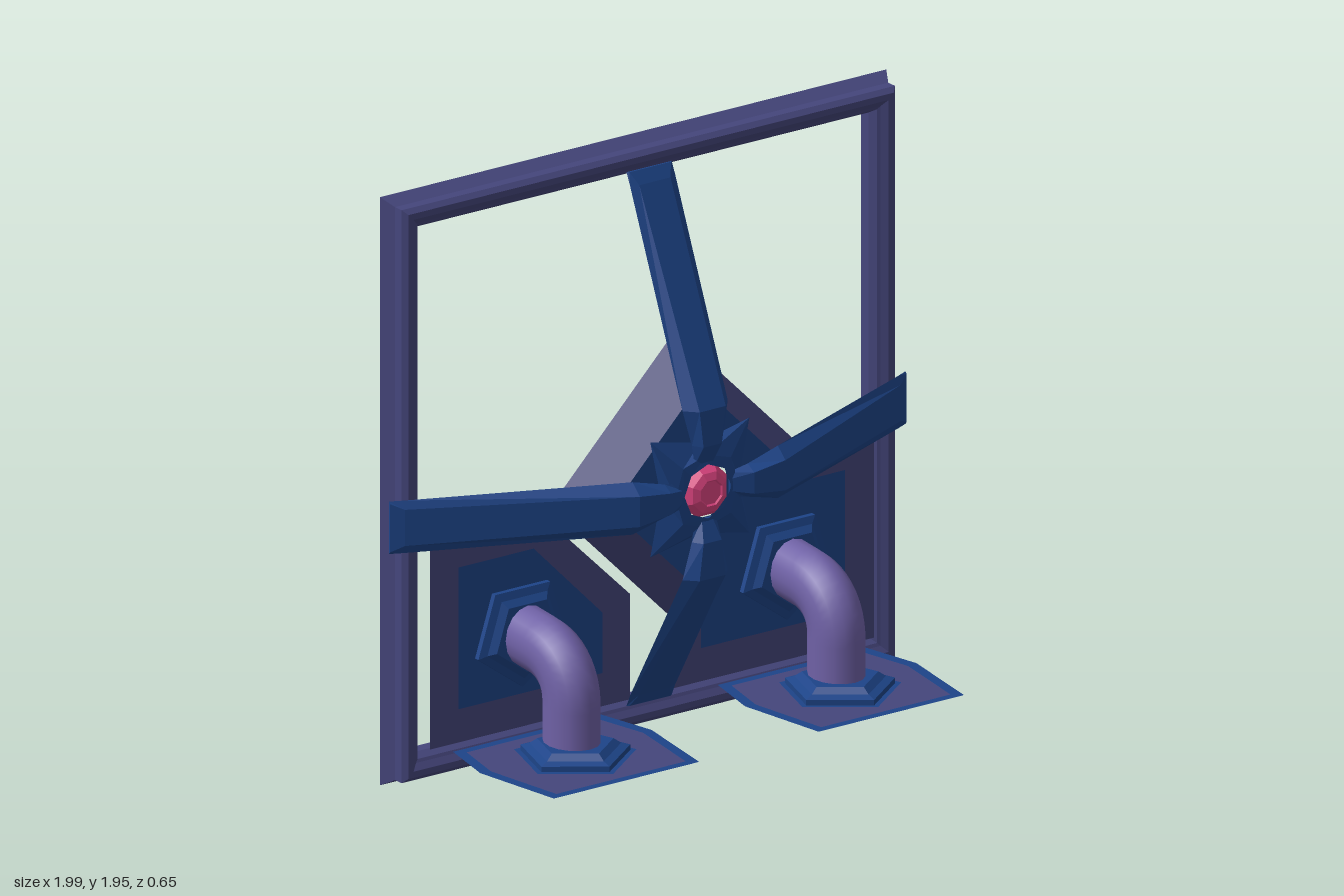
import * as THREE from 'three';

const mat = (color, flatShading = true) =>
  new THREE.MeshStandardMaterial({ color, flatShading, side: THREE.DoubleSide });
const BLUE = mat(0x1d4488), PURPLE = mat(0x45467c), PINK = mat(0xdc4480), PIPE = mat(0x6f61a6, false);

function add(parent, name, geo, material, x = 0, y = 0, z = 0) {
  const m = new THREE.Mesh(geo, material);
  m.name = name;
  m.position.set(x, y, z);
  parent.add(m);
  return m;
}

// Skin a list of equal-length rings of [x, y, z] points, optionally capped
function loft(rings, capped) {
  const n = rings[0].length, idx = [];
  for (let i = 0; i < rings.length - 1; i++)
    for (let j = 0; j < n; j++) {
      const a = i * n + j, b = i * n + (j + 1) % n;
      idx.push(a, b, b + n, a, b + n, a + n);
    }
  if (capped) {
    const e = (rings.length - 1) * n;
    for (let j = 1; j < n - 1; j++) idx.push(0, j + 1, j, e, e + j, e + j + 1);
  }
  const g = new THREE.BufferGeometry();
  g.setAttribute('position', new THREE.Float32BufferAttribute(rings.flat(2), 3));
  g.setIndex(idx);
  const flat = g.toNonIndexed();
  flat.computeVertexNormals();
  return flat;
}

// Lathe whose axis points to +z; profile is [radius, z]
function latheZ(profile, sides, phase) {
  const g = new THREE.LatheGeometry(profile.map(p => new THREE.Vector2(...p)), sides, phase);
  g.rotateX(Math.PI / 2);
  const flat = g.toNonIndexed();
  flat.computeVertexNormals();
  return flat;
}

const vec = pts => pts.map(p => new THREE.Vector2(...p));
function plate(pts, hole) {
  const s = new THREE.Shape(vec(pts));
  if (hole) s.holes.push(new THREE.Path(vec(hole)));
  return new THREE.ShapeGeometry(s);
}
const polygon = (n, r, start) => Array.from({ length: n }, (_, i) => {
  const a = start + i * 2 * Math.PI / n;
  return [r * Math.cos(a), r * Math.sin(a)];
});

// Curved spoke along +x, bending back to its tip
function spoke(len, tipZ) {
  const stations = [ // x, front z, thickness, back half width, front half width
    [0.09, 0.06, 0.01, 0.04, 0.02],
    [0.16, 0.09, 0.035, 0.055, 0.035],
    [0.28, 0.09, 0.04, 0.087, 0.05],
    [len - 0.04, tipZ + 0.025, 0.012, 0.087, 0.06],
    [len, tipZ, 0.006, 0.087, 0.08],
  ];
  return loft(stations.map(([x, z, t, b, f]) =>
    [[x, -b, z - t], [x, b, z - t], [x, f, z], [x, -f, z]]), true);
}

// Pentagonal stepped flange, axis +z, one corner towards -y
function flange(h) {
  return latheZ([[0, 0], [0.18, 0], [0.18, h * 0.4], [0.15, h * 0.6], [0.125, h], [0, h]], 5, 0);
}

// Wall panel, floor plate, elbow pipe and flanges for the model's left side
function pipeUnit() {
  const g = new THREE.Group();
  const X = 0.51;
  const inset = [[0.745, 0.23], [0.745, 0.7], [0.455, 0.7], [0.19, 0.43], [0.19, 0.23]];
  const outer = [[0.855, 0.12], [0.855, 0.8], [0.42, 0.8], [0.085, 0.47], [0.085, 0.12]];
  add(g, 'wallPanelBorder', plate(outer, inset), PURPLE, 0, 0, -0.245);
  add(g, 'wallPanelInset', plate(inset), BLUE, 0, 0, -0.245);
  add(g, 'wallFlange', flange(0.045), BLUE, X, 0.44, -0.245);

  // Floor plate: outline in x and z, laid flat
  const edge = [[-0.285, -0.205], [0.285, -0.205], [0.33, 0], [0.28, 0.32], [-0.28, 0.32], [-0.33, 0]];
  const inner = edge.map(([x, z]) => [x * 0.89, (z - 0.06) * 0.89 + 0.06]);
  const core = polygon(5, 0.2, Math.PI / 2).map(([x, z]) => [x, z + 0.05]);
  [['floorPlateRim', edge, inner, BLUE], ['floorPlate', inner, core, PURPLE], ['floorPlateCore', core, null, BLUE]]
    .forEach(([name, pts, hole, m]) =>
      add(g, name, plate(pts, hole).rotateX(Math.PI / 2), m, X, 0.112, 0));
  add(g, 'floorFlange', flange(0.045).rotateX(-Math.PI / 2), BLUE, X, 0.112, 0.05);

  // Elbow pipe
  const path = new THREE.CurvePath();
  const v = (y, z) => new THREE.Vector3(0, y, z);
  path.add(new THREE.LineCurve3(v(0.12, 0.03), v(0.28, 0.03)));
  path.add(new THREE.CubicBezierCurve3(v(0.28, 0.03), v(0.37, 0.03), v(0.425, -0.03), v(0.43, -0.12)));
  path.add(new THREE.LineCurve3(v(0.43, -0.12), v(0.44, -0.25)));
  const pipe = add(g, 'elbowPipe', new THREE.TubeGeometry(path, 24, 0.1, 16), PIPE, X);
  pipe.scale.x = 0.86;
  return g;
}

export function createModel() {
  const model = new THREE.Group();
  model.name = 'windowWithPipes';

  // Square moulded frame
  const moulding = [[0.975, -0.33], [0.95, -0.285], [0.95, -0.25], [0.935, -0.235], [0.915, -0.235],
    [0.895, -0.25], [0.885, -0.255], [0.87, -0.28], [0.87, -0.32], [0.89, -0.33], [0.975, -0.33]];
  add(model, 'frame', latheZ(moulding.map(([d, z]) => [d * Math.SQRT2, z]), 4, Math.PI / 4),
    PURPLE, -0.005, 0.98);

  const hub = new THREE.Group();
  hub.name = 'hub';
  hub.position.set(-0.005, 0.885, 0);
  model.add(hub);

  // Diamond skirt, open at the back, with a pierced front plate
  add(hub, 'diamondSkirt', latheZ([[0.48, -0.11], [0.34, 0.02]], 4, 0), PURPLE);
  add(hub, 'diamondPlate', plate(polygon(4, 0.34, 0), polygon(8, 0.11, Math.PI / 8)), BLUE, 0, 0, 0.02);

  // Star-shaped collar around the knob
  const ring = (radius, z) => Array.from({ length: 8 }, (_, i) => {
    const a = i * Math.PI / 4, r = radius(i % 2);
    return [r * Math.cos(a), r * Math.sin(a), z];
  });
  add(hub, 'starCollar', loft([ring(odd => (odd ? 0.27 : 0.15), 0.022),
    ring(odd => (odd ? 0.13 : 0.12), 0.06), ring(() => 0.09, 0.065)], false), BLUE);

  // Faceted knob
  add(hub, 'knob', latheZ([[0, -0.01], [0.05, -0.01], [0.085, 0.02], [0.09, 0.05], [0.07, 0.075],
    [0.045, 0.085], [0.04, 0.08], [0, 0.08]], 8, Math.PI / 8), PINK);

  // Four spokes: left, top, right, bottom
  [[0.995, -0.25], [0.985, -0.24], [0.995, -0.25], [0.785, -0.24]].forEach(([len, z], i) => {
    add(hub, 'spoke', spoke(len, z), BLUE).rotation.z = i * Math.PI / 2;
  });

  // Mirrored pipe units
  for (const side of [1, -1]) {
    const unit = pipeUnit();
    unit.name = side > 0 ? 'leftPipeUnit' : 'rightPipeUnit';
    unit.scale.x = side;
    unit.position.x = 0.005;
    model.add(unit);
  }
  return model;
}
